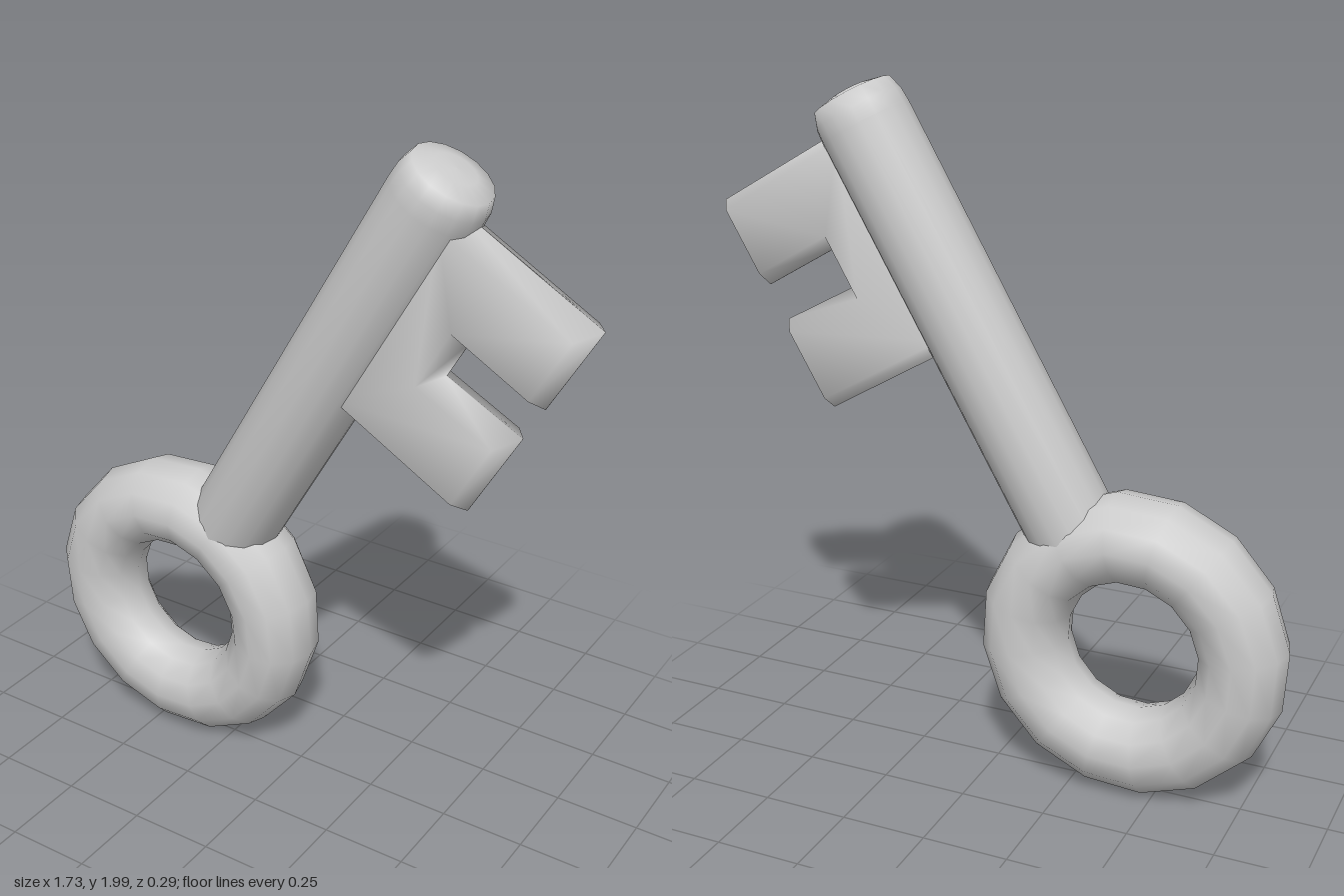
import * as THREE from 'three';
import { mergeVertices } from 'three/addons/utils/BufferGeometryUtils.js';

const material = new THREE.MeshStandardMaterial({ color: 0xcccccc });

// Weld seams and share normals across every edge for a soft look
function smooth(geometry) {
  geometry.deleteAttribute('normal');
  geometry.deleteAttribute('uv');
  const welded = mergeVertices(geometry, 1e-4);
  welded.computeVertexNormals();
  return welded;
}

function addPart(parent, name, geometry) {
  const mesh = new THREE.Mesh(geometry, material);
  mesh.name = name;
  parent.add(mesh);
}

export function createModel() {
  const model = new THREE.Group();
  model.name = 'key';

  // The key is built upright around the centre of its ring, then leaned over
  const key = new THREE.Group();
  key.name = 'leaningKey';
  key.position.set(-0.415, 0.455, 0);
  key.rotation.z = -Math.PI / 6;
  model.add(key);

  // Ring handle, growing thicker towards the shaft
  const ring = new THREE.TorusGeometry(0.325, 0.128, 12, 16);
  const pos = ring.attributes.position;
  for (let i = 0; i < pos.count; i++) {
    const t = THREE.MathUtils.clamp((pos.getY(i) + 0.32) / 0.64, 0, 1);
    pos.setZ(i, pos.getZ(i) * (0.97 + 0.16 * t));
  }
  addPart(key, 'ringHandle', smooth(ring));

  // Round shaft with a softened tip
  const profile = [[0, 0.32], [0.133, 0.32], [0.133, 1.62], [0.13, 1.665], [0.116, 1.708], [0.06, 1.722], [0, 1.725]]
    .map(([r, y]) => new THREE.Vector2(r, y));
  addPart(key, 'shaft', new THREE.LatheGeometry(profile, 16));

  // Two-toothed bit with edges chamfered to a ridge
  const outline = [[0.03, 0.97], [0.526, 0.97], [0.526, 1.258], [0.272, 1.25],
    [0.272, 1.37], [0.526, 1.37], [0.526, 1.645], [0.03, 1.645]]
    .map(([x, y]) => new THREE.Vector2(x, y));
  const bit = new THREE.ExtrudeGeometry(new THREE.Shape(outline), {
    depth: 0.004, bevelEnabled: true, bevelSegments: 1,
    bevelThickness: 0.078, bevelSize: 0.036, bevelOffset: -0.036,
  });
  bit.translate(0, 0, -0.002);
  addPart(key, 'bit', smooth(bit));

  return model;
}
